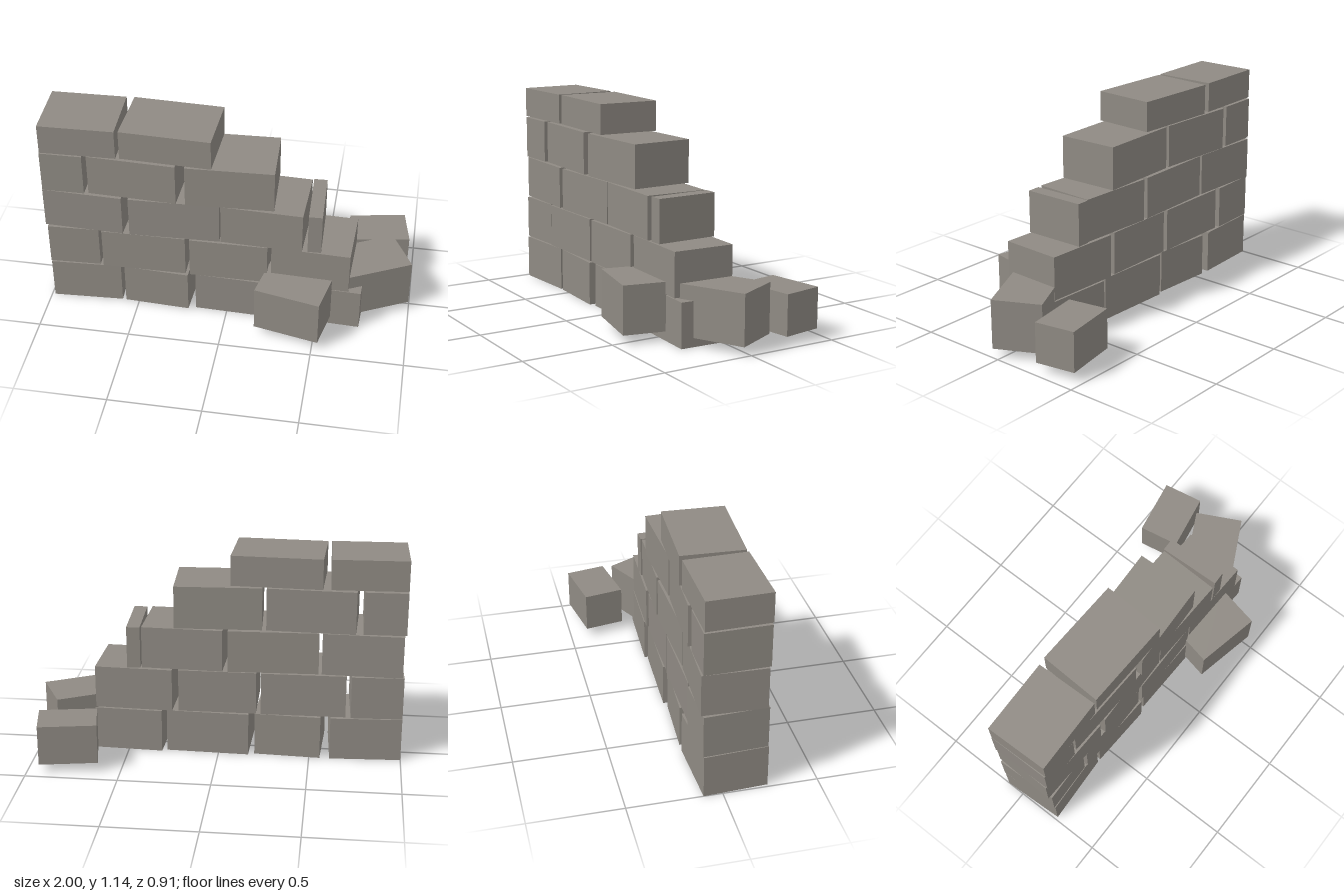
import * as THREE from 'three';

export function createModel() {
  const group = new THREE.Group();
  const stone = new THREE.MeshStandardMaterial({ color: 0x8f8a83, side: THREE.DoubleSide, flatShading: true });
  stone.name = 'greyStone';

  const DEPTH = 0.34;
  const WALL_Z = 0.06;

  // One block; blocks near the ground are hollow with no underside
  function block(parent, name, w, h, d, x, y, z, turn, openBottom) {
    const geo = new THREE.BoxGeometry(w, h, d);
    if (openBottom) {
      const index = Array.from(geo.index.array);
      index.splice(18, 6); // drop the -y face
      geo.setIndex(index);
      geo.clearGroups();
    }
    const mesh = new THREE.Mesh(geo, stone);
    mesh.name = name;
    mesh.position.set(x, y, z);
    mesh.rotation.y = turn;
    parent.add(mesh);
  }

  // Courses from the ground up; each block is [left, right, turn]
  const courses = [
    { y0: 0, y1: 0.24, blocks: [[-1, -0.595, 0.05], [-0.575, -0.198, -0.05], [-0.175, 0.287, -0.03], [0.3, 0.75, -0.04]] },
    { y0: 0.246, y1: 0.484, blocks: [[-1, -0.707, 0.04], [-0.692, -0.228, 0.01], [-0.205, 0.222, 0.005], [0.243, 0.68, -0.035]] },
    { y0: 0.49, y1: 0.723, blocks: [[-1, -0.557, -0.03], [-0.54, -0.04, 0.03], [-0.033, 0.42, -0.035], [0.427, 0.51, 0.03]] },
    { y0: 0.73, y1: 0.965, blocks: [[-1, -0.768, 0.012], [-0.745, -0.255, -0.04], [-0.232, 0.253, 0.04]] },
    { y0: 0.974, y1: 1.14, blocks: [[-1, -0.585, 0.025], [-0.565, -0.063, -0.04]] },
  ];

  const wall = new THREE.Group();
  wall.name = 'wall';
  courses.forEach(({ y0, y1, blocks }, row) => {
    blocks.forEach(([left, right, turn], i) => {
      // Length that keeps the turned block inside its slot
      const w = (right - left - DEPTH * Math.abs(Math.sin(turn))) / Math.cos(turn);
      block(wall, `course${row + 1}Block${i + 1}`, w, y1 - y0, DEPTH,
        (left + right) / 2, (y0 + y1) / 2, WALL_Z, turn, row === 0);
    });
  });
  group.add(wall);

  // Fallen blocks around the broken end
  const fallen = new THREE.Group();
  fallen.name = 'fallenBlocks';
  block(fallen, 'fallenFrontBlock', 0.363, 0.26, 0.26, 0.38, 0.18, 0.29, -0.208, true);
  block(fallen, 'fallenEndBlock', 0.375, 0.27, 0.268, 0.768, 0.183, 0.005, 0.468, true);
  block(fallen, 'fallenBackBlock', 0.315, 0.22, 0.224, 0.795, 0.16, -0.322, 0.176, true);
  group.add(fallen);

  return group;
}
